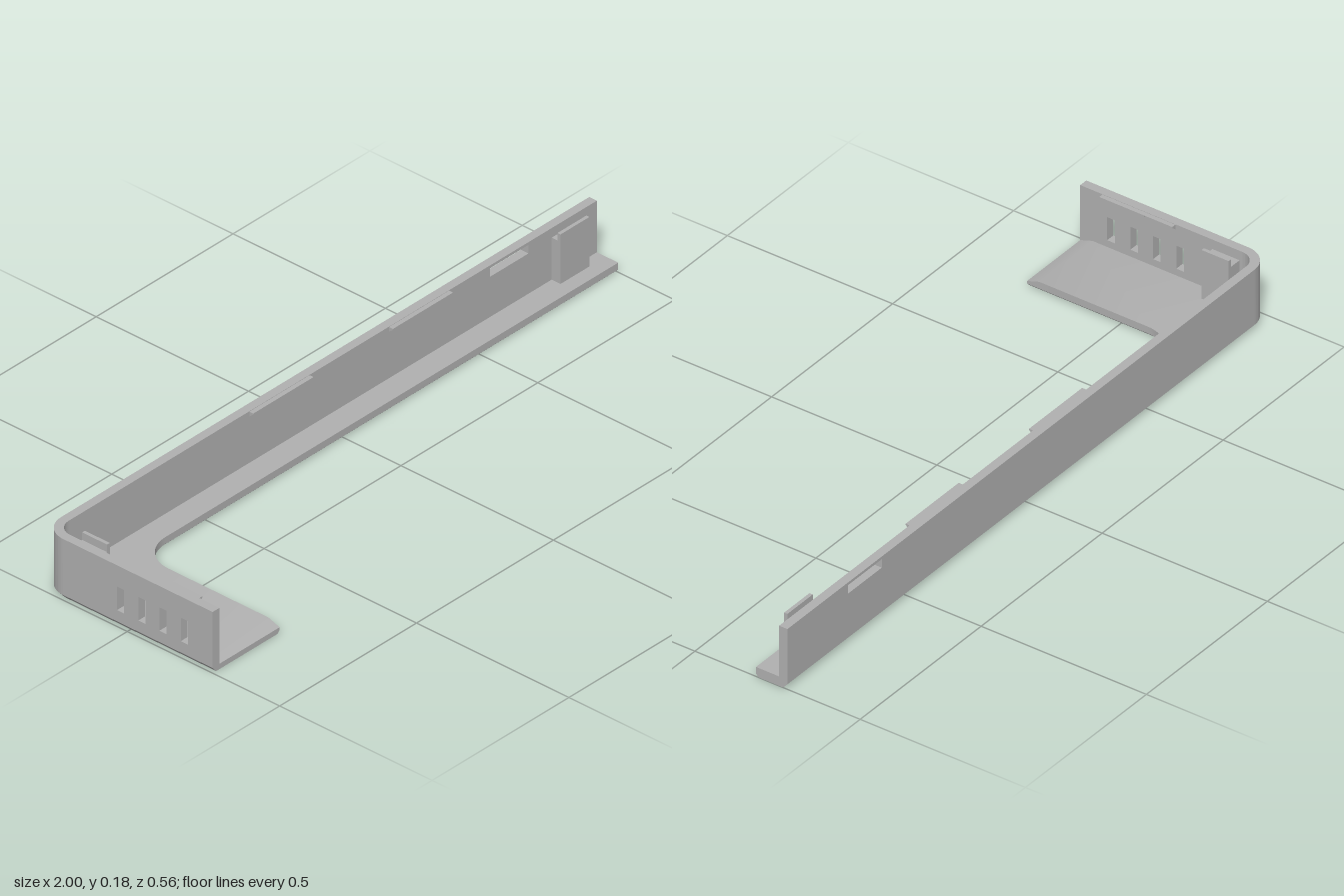
import * as THREE from 'three';
import { toCreasedNormals } from 'three/addons/utils/BufferGeometryUtils.js';

const TOP = 0.178, FLOOR = 0.028, CHAMFER = 0.015, THICK = 0.025;
const grey = new THREE.MeshStandardMaterial({ color: 0xb0b0b0 });
grey.name = 'grey plastic';

function add(parent, name, geometry) {
  const mesh = new THREE.Mesh(geometry, grey);
  mesh.name = name;
  parent.add(mesh);
  return mesh;
}

function rectPoints(x0, x1, y0, y1) {
  return [[x0, y0], [x1, y0], [x1, y1], [x0, y1]].map(p => new THREE.Vector2(...p));
}

// Wall panel with rectangular openings; inner face at local z = 0
function addPanel(parent, x0, x1, openings) {
  const shape = new THREE.Shape(rectPoints(x0, x1, CHAMFER, TOP));
  openings.forEach(o => shape.holes.push(new THREE.Path(rectPoints(...o))));
  const g = new THREE.ExtrudeGeometry(shape, { depth: THICK, bevelEnabled: false });
  add(parent, 'wallPanel', g.translate(0, 0, -THICK));
}

// Profile of [distance from wall, height], run along the wall from x0 to x1
function addProfile(parent, name, profile, x0, x1) {
  const shape = new THREE.Shape(profile.map(([d, y]) => new THREE.Vector2(-d, y)));
  const g = new THREE.ExtrudeGeometry(shape, { depth: x1 - x0, bevelEnabled: false });
  add(parent, name, g.rotateY(Math.PI / 2).translate(x0, 0, 0));
}

const addLip = (parent, x0, x1) =>
  addProfile(parent, 'snapLip', [[0, 0.163], [0.013, 0.174], [0.013, 0.177], [0, 0.177]], x0, x1);

// Upright block with a thin plate standing proud of its top, leaving a notch behind
const addBlock = (parent, x0, x1, d) =>
  addProfile(parent, 'hookBlock',
    [[0, FLOOR], [d, FLOOR], [d, 0.172], [d - 0.01, 0.172], [d - 0.01, 0.15], [0, 0.15]], x0, x1);

// L-shaped floor lofted through cross-sections, with chamfered lower edges
function floorGeometry() {
  const stations = [];
  const station = (ox, oz, ex, ez, nx, nz, top) => stations.push([
    [ox + nx * 0.013, 0, oz + nz * 0.013],
    [ox, CHAMFER, oz],
    [ox + nx * THICK, top, oz + nz * THICK],
    [ex, top, ez],
    [ex, 0.008, ez],
    [ex - nx * 0.008, 0, ez - nz * 0.008],
  ]);
  station(1, -0.28, 1, -0.185, 0, 1, FLOOR);
  const N = 16;
  for (let i = 0; i <= N; i++) {
    const a = (i / N) * Math.PI / 2, s = Math.sin(a), c = Math.cos(a);
    station(-0.93 - 0.07 * s, -0.21 - 0.07 * c, -0.655 - 0.1 * s, -0.085 - 0.1 * c, s, c, FLOOR);
  }
  station(-1, 0.243, -0.755, 0.243, 1, 0, FLOOR);
  station(-1, 0.28, -0.755, 0.28, 1, 0, CHAMFER + 0.0005);

  const pos = [];
  const tri = (...pts) => pts.forEach(p => pos.push(...p));
  for (let i = 0; i < stations.length - 1; i++) {
    const a = stations[i], b = stations[i + 1];
    for (let j = 0; j < 6; j++) {
      const k = (j + 1) % 6;
      tri(a[j], b[j], a[k]);
      tri(a[k], b[j], b[k]);
    }
  }
  const first = stations[0], last = stations[stations.length - 1];
  for (let j = 1; j < 5; j++) {
    tri(first[0], first[j], first[j + 1]);
    tri(last[0], last[j + 1], last[j]);
  }
  const g = new THREE.BufferGeometry();
  g.setAttribute('position', new THREE.Float32BufferAttribute(pos, 3));
  return toCreasedNormals(g, 0.4);
}

export function createModel() {
  const model = new THREE.Group();
  model.name = 'cornerBracket';
  add(model, 'floor', floorGeometry());

  // Long back wall
  const back = new THREE.Group();
  back.name = 'backWall';
  back.position.z = -0.28 + THICK;
  addPanel(back, -0.93, 1, [[0.61, 0.75, 0.145, 0.17]]);
  addLip(back, -0.27, -0.05);
  addLip(back, 0.24, 0.46);
  addBlock(back, 0.835, 0.94, 0.029);
  model.add(back);

  // Short side wall, its local x running toward the back
  const side = new THREE.Group();
  side.name = 'sideWall';
  side.position.x = -1 + THICK;
  side.rotation.y = Math.PI / 2;
  const slots = [-0.187, -0.117, -0.048, 0.022].map(x => [x - 0.0115, x + 0.0115, 0.048, 0.116]);
  addPanel(side, -0.28, 0.21, slots);
  addLip(side, -0.213, 0.008);
  addBlock(side, 0.12, 0.202, 0.045);
  model.add(side);

  // Rounded corner joining the two walls
  const arc = new THREE.Shape();
  arc.absarc(0, 0, 0.07, Math.PI / 2, Math.PI, false);
  arc.absarc(0, 0, 0.07 - THICK, Math.PI, Math.PI / 2, true);
  const corner = new THREE.ExtrudeGeometry(arc, { depth: TOP - CHAMFER, bevelEnabled: false, curveSegments: 16 });
  corner.rotateX(-Math.PI / 2).translate(-0.93, CHAMFER, -0.21);
  add(model, 'roundedCorner', toCreasedNormals(corner, 0.4));

  return model;
}
